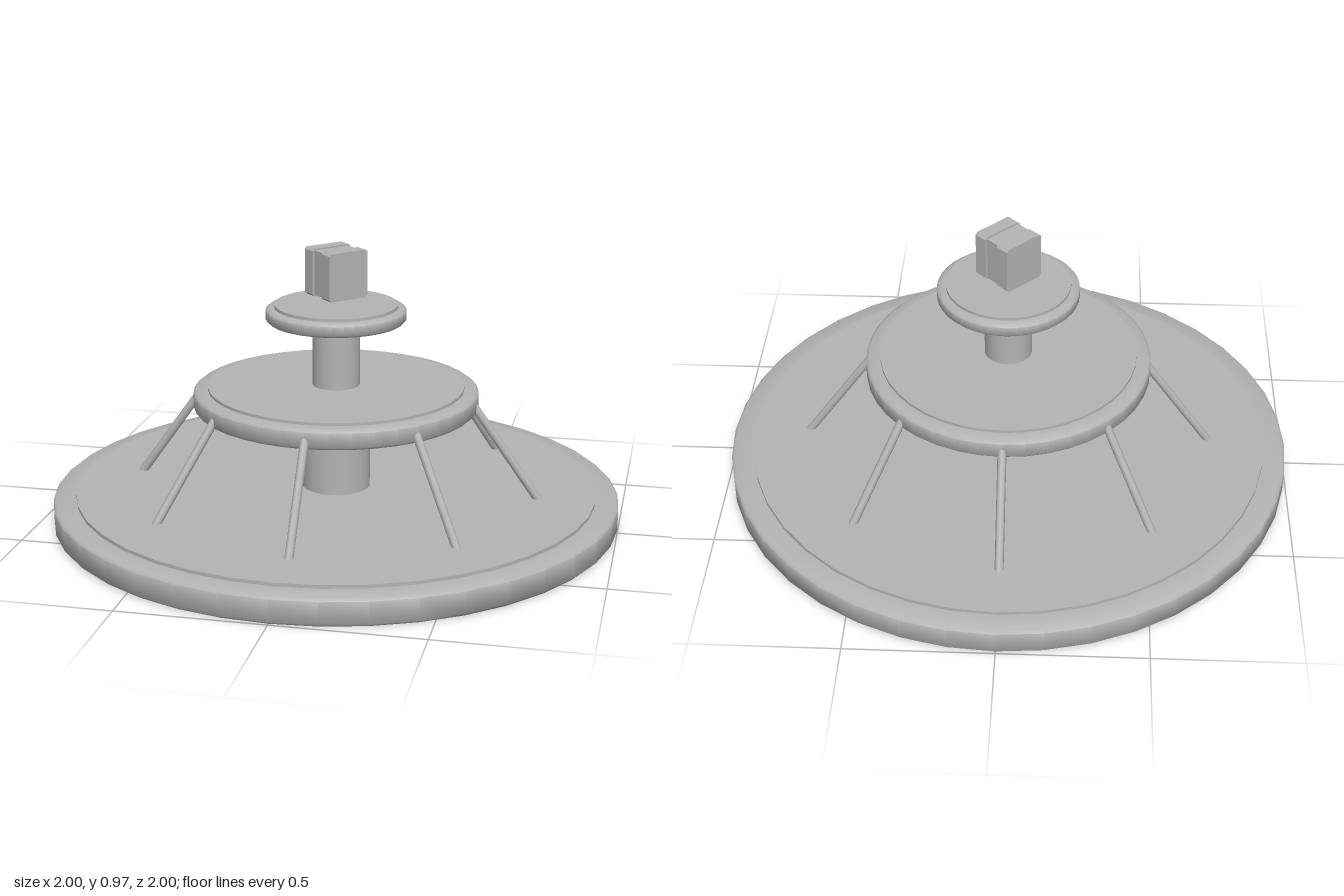
import * as THREE from 'three';
import { toCreasedNormals } from 'three/addons/utils/BufferGeometryUtils.js';

export function createModel() {
  const model = new THREE.Group();
  const stone = new THREE.MeshStandardMaterial({ color: 0xb3b3b3 });
  stone.name = 'grey';

  const add = (name, geometry, parent = model) => {
    const mesh = new THREE.Mesh(geometry, stone);
    mesh.name = name;
    parent.add(mesh);
    return mesh;
  };

  // Round tier: softened rim with a thin raised disc on top
  const tier = (name, radius, inner, y0, yRim, yTop) => {
    const b = 0.01;
    const points = [
      [0, y0], [radius - b, y0], [radius, y0 + b], [radius, yRim - b],
      [radius - b, yRim - 0.002], [inner, yRim], [inner, yTop], [0, yTop],
    ].map(([r, y]) => new THREE.Vector2(r, y));
    add(name, toCreasedNormals(new THREE.LatheGeometry(points, 40), 0.9));
  };
  tier('basePlate', 1, 0.92, 0, 0.095, 0.107);
  tier('middlePlate', 0.5, 0.45, 0.4, 0.47, 0.48);
  tier('upperPlate', 0.245, 0.215, 0.71, 0.76, 0.77);

  // Central columns
  const column = (name, radius, y0, y1) => {
    add(name, new THREE.CylinderGeometry(radius, radius, y1 - y0, 32)).position.y = (y0 + y1) / 2;
  };
  column('lowerColumn', 0.12, 0.1, 0.41);
  column('upperColumn', 0.083, 0.47, 0.72);

  // Eight sloping struts between base and middle plate
  const foot = new THREE.Vector3(0.73, 0.09, 0);
  const head = new THREE.Vector3(0.485, 0.435, 0);
  const slope = head.clone().sub(foot);
  const strutGeometry = new THREE.CylinderGeometry(0.015, 0.015, slope.length(), 8);
  const struts = new THREE.Group();
  struts.name = 'struts';
  model.add(struts);
  for (let i = 0; i < 8; i++) {
    const arm = new THREE.Group();
    arm.name = 'strutArm';
    arm.rotation.y = (i * Math.PI) / 4;
    const strut = add('strut', strutGeometry, arm);
    strut.position.copy(foot).add(head).multiplyScalar(0.5);
    strut.quaternion.setFromUnitVectors(new THREE.Vector3(0, 1, 0), slope.clone().normalize());
    struts.add(arm);
  }

  // Floating block, turned 45 degrees: two outer slabs and a recessed core
  const block = new THREE.Group();
  block.name = 'topBlock';
  block.position.y = 0.883;
  block.rotation.y = Math.PI / 4;
  model.add(block);
  const slabShape = new THREE.Shape();
  const w = 0.078, h = 0.084, c = 0.008;
  [[-w + c, -h], [w - c, -h], [w, -h + c], [w, h - c], [w - c, h], [-w + c, h], [-w, h - c], [-w, -h + c]]
    .forEach(([x, y], i) => (i ? slabShape.lineTo(x, y) : slabShape.moveTo(x, y)));
  const slab = new THREE.ExtrudeGeometry(slabShape, { depth: 0.05, bevelEnabled: false });
  add('frontSlab', slab, block).position.z = 0.028;
  add('backSlab', slab, block).position.z = -0.078;
  add('blockCore', new THREE.BoxGeometry(0.142, 0.156, 0.058), block);

  return model;
}
